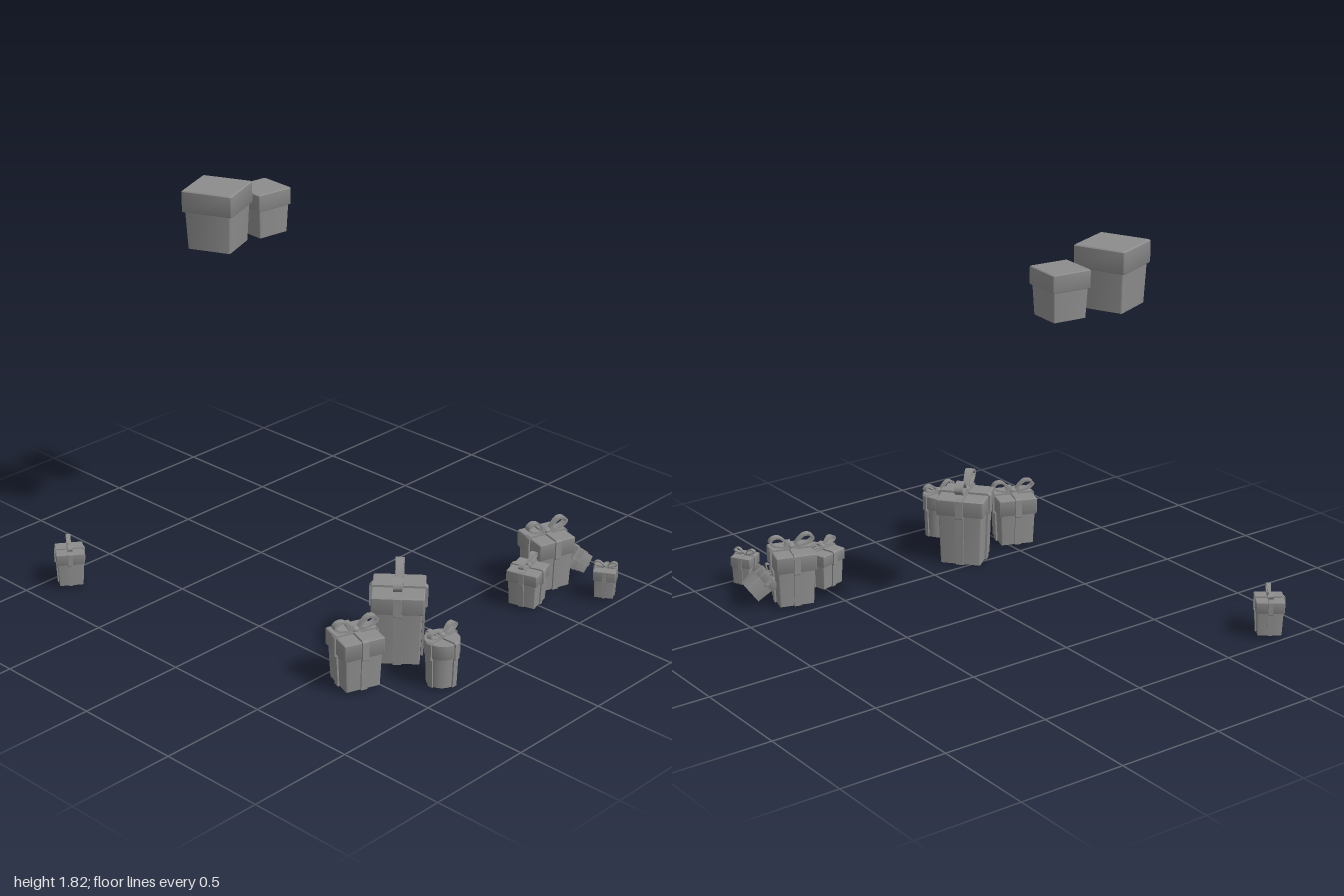
import * as THREE from 'three';
import { toCreasedNormals } from 'three/addons/utils/BufferGeometryUtils.js';

const material = new THREE.MeshStandardMaterial({ color: 0x8c8c8c, side: THREE.DoubleSide });
const rad = THREE.MathUtils.degToRad;

function addMesh(parent, name, geometry) {
  const mesh = new THREE.Mesh(toCreasedNormals(geometry, rad(35)), material);
  mesh.name = name;
  parent.add(mesh);
  return mesh;
}

// Outline one unit wide, as [x, z] points: a circle or a square with softened corners
function outline(round) {
  const points = [];
  const r = round ? 0.5 : 0.03, steps = round ? 8 : 3;
  for (let corner = 0; corner < 4; corner++) {
    const mid = (corner + 0.5) * Math.PI / 2;
    const cx = Math.sign(Math.cos(mid)) * (0.5 - r), cz = Math.sign(Math.sin(mid)) * (0.5 - r);
    for (let i = 0; i < (round ? steps : steps + 1); i++) {
      const a = (corner + i / steps) * Math.PI / 2;
      points.push([cx + r * Math.cos(a), cz + r * Math.sin(a)]);
    }
  }
  return points;
}

// Skin over copies of the outline, each ring given as [width, height]
function loft(points, rings) {
  const n = points.length, positions = [], index = [];
  rings.forEach(([w, y], r) => {
    points.forEach(([x, z], i) => {
      positions.push(x * w, y, z * w);
      if (r === rings.length - 1) return;
      const a = r * n + i, b = r * n + (i + 1) % n;
      index.push(a, a + n, b);
      if (rings[r + 1][0] > 0) index.push(b, a + n, b + n);
    });
  });
  const g = new THREE.BufferGeometry();
  g.setAttribute('position', new THREE.Float32BufferAttribute(positions, 3));
  g.setIndex(index);
  return g;
}

// Ribbon band running up one side, over the lid and down the other side
function strap(s, top0, bot0, lidY, topY) {
  const t = s * 0.05, w = s * 0.16, l = s / 2 + t, gap = t * 0.15;
  const outer = [
    [l - t, topY + t], [l, topY], [l, lidY - t * 0.5], [l - t * 0.6, lidY - t],
    [top0 / 2 + t, lidY - t], [bot0 / 2 + t, 0],
  ];
  const inner = [
    [bot0 / 2 + gap, 0], [top0 / 2 + gap, lidY - gap], [s / 2 + gap, lidY - gap], [s / 2 + gap, topY + gap],
  ];
  const half = [...outer, ...inner];
  const pts = [...half, ...half.slice().reverse().map(([x, y]) => [-x, y])];
  const shape = new THREE.Shape(pts.map(([x, y]) => new THREE.Vector2(x, y)));
  return new THREE.ExtrudeGeometry(shape, { depth: w, bevelEnabled: false }).translate(0, 0, -w / 2);
}

// One bow loop: a flat band bent into a teardrop, narrowing toward the knot
function bowLoop(length, height, width, band) {
  const path = [[0, 0.02], [0.25, 0.62], [0.55, 0.98], [0.85, 0.93], [1, 0.62], [0.85, 0.33], [0.5, 0.14]];
  const outer = new THREE.CatmullRomCurve3(
    path.map(([x, y]) => new THREE.Vector3(x * length, y * height, 0)), true).getPoints(28).slice(0, -1);
  const n = outer.length;
  const inner = outer.map((p, i) => {
    const d = outer[(i + 1) % n].clone().sub(outer[(i + n - 1) % n]).normalize();
    return new THREE.Vector2(p.x + d.y * band, p.y - d.x * band);
  }).filter((p) => p.x > length * 0.2);
  const shape = new THREE.Shape(outer.map((p) => new THREE.Vector2(p.x, p.y)));
  shape.holes.push(new THREE.Path(inner));
  const g = new THREE.ExtrudeGeometry(shape, { depth: width, bevelEnabled: false }).translate(0, 0, -width / 2);
  const pos = g.attributes.position;
  for (let i = 0; i < pos.count; i++) {
    const k = 0.6 + 0.4 * THREE.MathUtils.clamp(pos.getX(i) / (length * 0.6), 0, 1);
    pos.setZ(i, pos.getZ(i) * k);
  }
  return g;
}

function makeBox({ name, x, z, y = 0, yaw, size, lidY, topY, round, bow, tilt = 0 }) {
  const group = new THREE.Group();
  group.name = name;
  const points = outline(round);
  const top0 = size * 0.91, bot0 = size * 0.84, edge = size * 0.02;
  // open-bottomed body under an overhanging lid
  addMesh(group, 'boxBody', loft(points, [[bot0, 0], [top0, lidY]]));
  addMesh(group, 'boxLid', loft(points, [
    [top0, lidY], [size - edge, lidY], [size, lidY + edge], [size, topY - edge], [size - 2 * edge, topY], [0, topY],
  ]));
  if (bow) {
    const [bowLength, bowHeight] = bow;
    for (const turn of [0, Math.PI / 2]) {
      addMesh(group, 'ribbonStrap', strap(size, top0, bot0, lidY, topY)).rotation.y = turn;
    }
    for (const side of [1, -1]) {
      const loop = addMesh(group, 'bowLoop', bowLoop(bowLength / 2, bowHeight, size * 0.17, size * 0.05));
      loop.position.y = topY + size * 0.02;
      loop.rotation.y = side * Math.PI / 2;
    }
    const knot = addMesh(group, 'bowKnot', new THREE.SphereGeometry(size * 0.1, 16, 10));
    knot.position.y = topY + size * 0.08;
    knot.scale.y = 0.8;
  }
  group.position.set(x, y, z);
  group.rotation.set(rad(tilt), rad(yaw), 0, 'YXZ');
  return group;
}

export function createModel() {
  const model = new THREE.Group();
  model.name = 'giftBoxes';
  const boxes = [
    // plain boxes floating above
    { name: 'largePlainBox', x: -0.58, z: 0.157, y: 1.553, yaw: 23, size: 0.237, lidY: 0.172, topY: 0.27 },
    { name: 'smallPlainBox', x: -0.573, z: -0.11, y: 1.55, yaw: -5, size: 0.183, lidY: 0.128, topY: 0.206 },
    // front right cluster
    { name: 'largeGift', x: 0.599, z: 0.248, yaw: 40, size: 0.229, lidY: 0.246, topY: 0.325, bow: [0.265, 0.084] },
    { name: 'frontGift', x: 0.636, z: 0.557, y: 0.008, yaw: -20, size: 0.188, lidY: 0.153, topY: 0.232, bow: [0.208, 0.065] },
    { name: 'roundGift', x: 0.902, z: 0.308, y: 0.01, yaw: 1, size: 0.156, lidY: 0.14, topY: 0.208, round: true, bow: [0.174, 0.05] },
    // lone gift on the far side
    { name: 'loneGift', x: -0.912, z: 0.81, y: 0.014, yaw: 54, size: 0.127, lidY: 0.107, topY: 0.16, bow: [0.147, 0.043] },
    // back right cluster
    { name: 'backGift', x: 0.646, z: -0.688, y: 0.008, yaw: -17, size: 0.189, lidY: 0.165, topY: 0.245, bow: [0.212, 0.067] },
    { name: 'mediumGift', x: 0.712, z: -0.483, y: 0.014, yaw: 16, size: 0.148, lidY: 0.114, topY: 0.168, bow: [0.165, 0.046] },
    { name: 'smallGift', x: 0.929, z: -0.768, y: 0.018, yaw: 121, size: 0.1, lidY: 0.085, topY: 0.132, bow: [0.108, 0.03] },
    { name: 'leaningGift', x: 0.714, z: -0.874, y: 0.065, yaw: -12, tilt: 54, size: 0.104, lidY: 0.075, topY: 0.118, bow: [0.108, 0.03] },
  ];
  for (const box of boxes) model.add(makeBox(box));
  return model;
}
